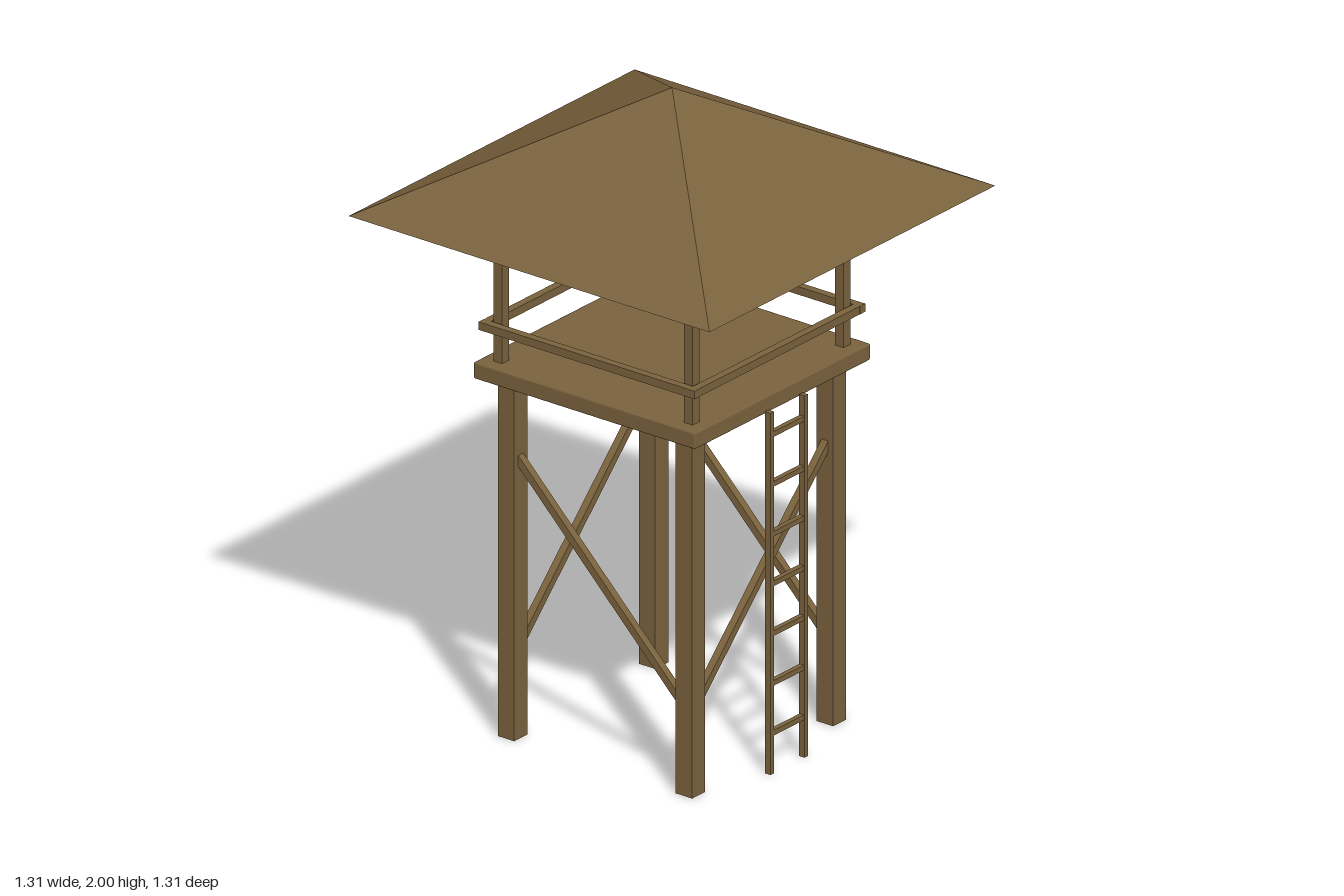
import * as THREE from 'three';
import { RoundedBoxGeometry } from 'three/addons/geometries/RoundedBoxGeometry.js';

export function createModel() {
  const model = new THREE.Group();
  model.name = 'watchtower';

  const wood = new THREE.MeshStandardMaterial({ color: 0x7a623d });
  wood.name = 'brown wood';

  const add = (name, geometry, x, y, z, parent = model) => {
    const mesh = new THREE.Mesh(geometry, wood);
    mesh.name = name;
    mesh.position.set(x, y, z);
    parent.add(mesh);
    return mesh;
  };
  const box = (name, w, h, d, x, y, z, parent) =>
    add(name, new THREE.BoxGeometry(w, h, d), x, y, z, parent);

  // Legs and the thinner roof posts above them
  for (const sx of [-1, 1]) {
    for (const sz of [-1, 1]) {
      box('leg', 0.06, 1.125, 0.06, sx * 0.324, 0.5625, sz * 0.324);
      box('roofPost', 0.032, 0.49, 0.032, sx * 0.347, 1.405, sz * 0.347);
    }
  }

  // Platform with slightly eased edges
  add('platform', new RoundedBoxGeometry(0.808, 0.052, 0.808, 1, 0.006), 0, 1.146, 0);

  // Railings and one diagonal brace on each side
  const braceLength = 0.864;
  for (const s of [-1, 1]) {
    box('railing', 0.786, 0.025, 0.025, 0, 1.284, s * 0.38);
    box('railing', 0.025, 0.025, 0.786, s * 0.38, 1.284, 0);
    const across = box('brace', braceLength, 0.024, 0.024, 0, 0.575, s * 0.324);
    across.rotation.z = -Math.PI / 4;
    const along = box('brace', 0.024, 0.024, braceLength, s * 0.324, 0.575, 0);
    along.rotation.x = Math.PI / 4;
  }

  // Ladder on the left side
  const ladder = new THREE.Group();
  ladder.name = 'ladder';
  ladder.position.x = 0.417;
  model.add(ladder);
  for (const s of [-1, 1]) box('ladderRail', 0.02, 1.13, 0.016, 0, 0.565, s * 0.078, ladder);
  for (let i = 0; i < 7; i++) {
    box('rung', 0.016, 0.016, 0.15, 0, 0.125 + i * 0.1555, 0, ladder);
  }

  // Pyramid roof with a closed underside and flat faces
  const roof = new THREE.ConeGeometry(0.657 * Math.SQRT2, 0.354, 4, 1, false, Math.PI / 4).toNonIndexed();
  roof.computeVertexNormals();
  add('roof', roof, 0, 1.823, 0);

  return model;
}
